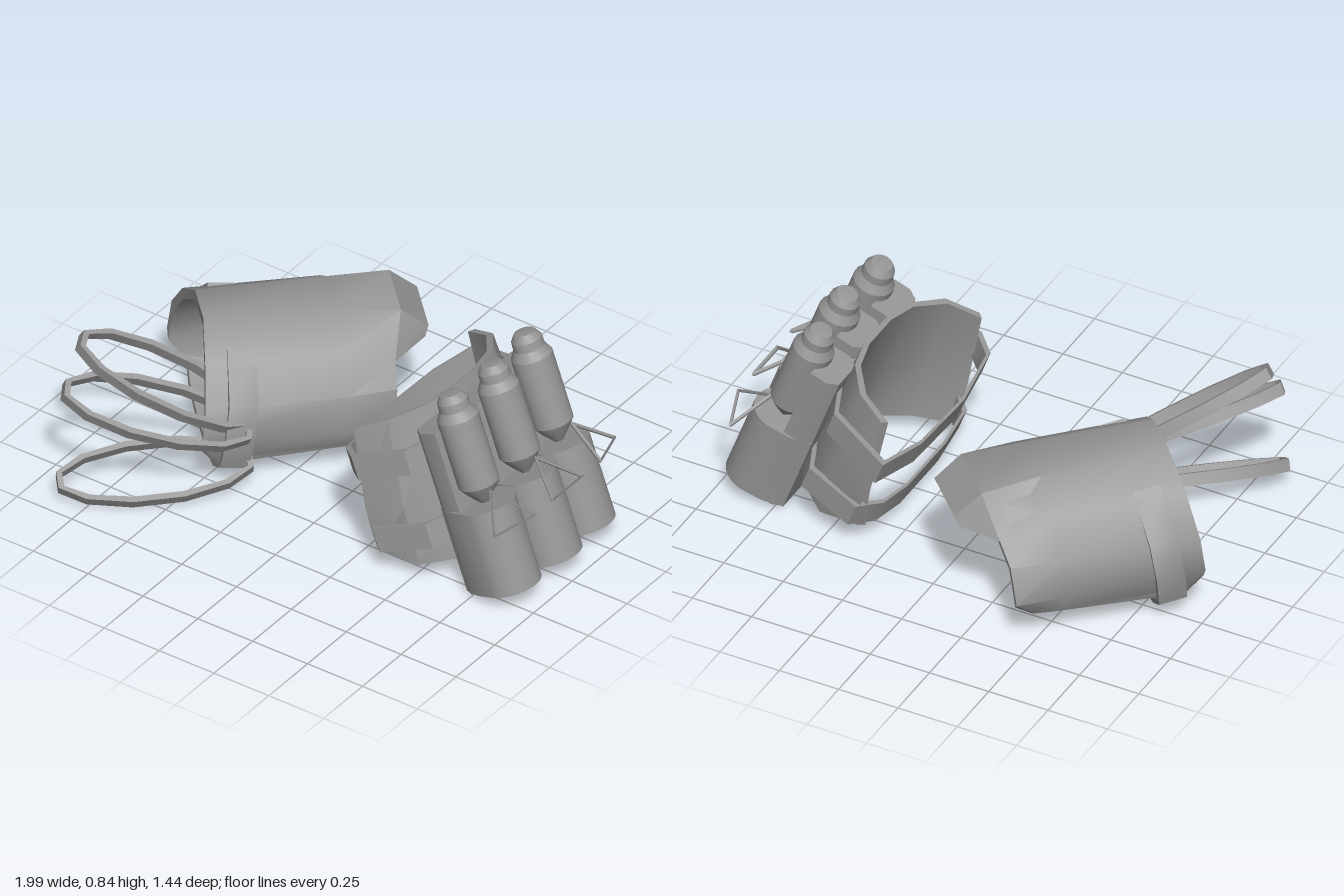
import * as THREE from 'three';
import { toCreasedNormals } from 'three/addons/utils/BufferGeometryUtils.js';

const material = new THREE.MeshStandardMaterial({ color: 0x959595, side: THREE.DoubleSide });

function add(parent, name, geometry, crease = 0.7) {
  const mesh = new THREE.Mesh(toCreasedNormals(geometry, crease), material);
  mesh.name = name;
  parent.add(mesh);
  return mesh;
}

// Surface through rows of [x, y, z] points
function grid(rows) {
  const n = rows[0].length, index = [];
  for (let r = 0; r < rows.length - 1; r++) {
    for (let c = 0; c < n - 1; c++) {
      const a = r * n + c, b = a + n;
      index.push(a, b, a + 1, a + 1, b, b + 1);
    }
  }
  const g = new THREE.BufferGeometry();
  g.setAttribute('position', new THREE.Float32BufferAttribute(rows.flat(2), 3));
  g.setIndex(index);
  g.computeVertexNormals();
  return g;
}

const toShape = pts => new THREE.Shape(pts.map(p => new THREE.Vector2(...p)));
const extrude = (shape, depth) => new THREE.ExtrudeGeometry(shape, { depth, bevelEnabled: false });

// Closed band following an outline, extruded along z
function band(pts, width, insetX, insetY) {
  const cx = pts.reduce((s, p) => s + p[0], 0) / pts.length;
  const cy = pts.reduce((s, p) => s + p[1], 0) / pts.length;
  const shape = toShape(pts);
  shape.holes.push(toShape(pts.map(([x, y]) => [cx + (x - cx) * insetX, cy + (y - cy) * insetY])));
  return extrude(shape, width);
}

// Lay an extrusion drawn in (x, -z) upright along y
const upright = g => g.rotateX(-Math.PI / 2);
const mirrorX = half => [...half.map(([x, ...r]) => [-x, ...r]), ...half.slice().reverse()];

// One canister in its pouch, with backing plate and pull ring
function canisterUnit(z, shift, yaw) {
  const unit = new THREE.Group();
  unit.name = 'canisterUnit';
  unit.position.set(shift, 0, z);

  const pouch = new THREE.Shape();
  pouch.moveTo(-0.14, -0.07);
  pouch.lineTo(-0.06, -0.105);
  pouch.lineTo(0.025, -0.115);
  pouch.absarc(0.025, 0, 0.115, -Math.PI / 2, Math.PI / 2, false);
  pouch.lineTo(-0.06, 0.105);
  pouch.lineTo(-0.14, 0.07);
  pouch.closePath();
  add(unit, 'pouch', upright(extrude(pouch, 0.35)));

  const plate = toShape([[-0.14, -0.065], [-0.1, -0.095], [-0.03, -0.095],
    [-0.03, 0.095], [-0.1, 0.095], [-0.14, 0.065]]);
  add(unit, 'backingPlate', upright(extrude(plate, 0.68)));

  const profile = [[0, 0.33], [0.06, 0.4], [0.081, 0.43], [0.081, 0.71], [0.061, 0.745],
    [0.06, 0.78], [0.042, 0.808], [0, 0.814]].map(p => new THREE.Vector2(...p));
  add(unit, 'canister', new THREE.LatheGeometry(profile, 18), 0.42).position.x = 0.02;

  const pivot = new THREE.Group();
  pivot.name = 'pullRing';
  pivot.position.x = 0.02;
  pivot.rotation.y = yaw;
  const ring = new THREE.TorusGeometry(0.11, 0.009, 4, 3)
    .rotateX(Math.PI / 2).rotateY(Math.PI).rotateZ(-0.86);
  add(pivot, 'triangle', ring).position.set(0.142, 0.325, 0);
  unit.add(pivot);
  return unit;
}

// Curved cuff with two straps and three canisters
function legCuff() {
  const cuff = new THREE.Group();
  cuff.name = 'canisterCuff';
  cuff.position.set(0.855, 0.055, 0);
  cuff.rotation.z = THREE.MathUtils.degToRad(20);

  [[-0.027, 0.015, 0], [0.21, -0.005, -0.35], [-0.268, -0.005, 0.35]]
    .forEach(a => cuff.add(canisterUnit(...a)));

  // Half sections as [z, x, y]
  const low = mirrorX([[0.38, -0.45, 0.2], [0.36, -0.29, 0.13], [0.25, -0.16, 0.11], [0.11, -0.125, 0.11]]);
  const mid = mirrorX([[0.41, -0.42, 0.38], [0.38, -0.26, 0.38], [0.26, -0.15, 0.38], [0.11, -0.12, 0.38]]);
  const top = mirrorX([[0.39, -0.37, 0.72], [0.34, -0.24, 0.735], [0.22, -0.15, 0.735], [0.09, -0.12, 0.735]]);
  const row = (s, k, dx) => s.map(([z, x, y]) => [x + dx, y, z * k - 0.03]);
  add(cuff, 'cuffShell', grid([row(low, 0.95, -0.02), row(low, 1, 0), row(mid, 1, 0),
    row(top, 1, 0), row(top, 0.95, -0.02), row(mid, 0.95, -0.02), row(low, 0.95, -0.02)]));

  // Strap outlines as [x, z]
  const upper = [[-0.46, -0.5], [-0.19, -0.41], [-0.1, -0.2], [-0.1, 0.13], [-0.19, 0.33],
    [-0.4, 0.39], [-0.48, 0.32], [-0.525, 0.03], [-0.515, -0.29]];
  const lower = [[-0.42, -0.45], [-0.19, -0.41], [-0.1, -0.2], [-0.1, 0.13], [-0.19, 0.34],
    [-0.41, 0.39], [-0.49, 0.31], [-0.515, 0.1], [-0.515, -0.2], [-0.49, -0.35]];
  [['upperStrap', upper, 0.515], ['lowerStrap', lower, 0.21]].forEach(([name, pts, y]) => {
    const outline = pts.map(([x, z]) => [x, -z]);
    add(cuff, name, upright(band(outline, 0.1, 0.94, 0.94))).position.y = y;
  });
  return cuff;
}

// Arched guard, open underneath, with a strap around one end
function armGuard() {
  const guard = new THREE.Group();
  guard.name = 'armGuard';
  guard.position.set(-0.329, 0, -0.329);
  guard.rotation.y = -Math.PI / 4;

  const near = mirrorX([[0.355, 0.13, 0.49], [0.385, 0.22, 0.555], [0.37, 0.35, 0.54],
    [0.25, 0.49, 0.52], [0.09, 0.59, 0.5]]);
  const middle = mirrorX([[0.355, 0.135, 0], [0.385, 0.21, 0], [0.365, 0.36, 0],
    [0.25, 0.485, 0], [0.11, 0.58, 0]]);
  const far = mirrorX([[0.35, 0.14, -0.1], [0.385, 0.21, -0.18], [0.34, 0.355, -0.19],
    [0.238, 0.41, -0.2], [0.13, 0.565, -0.24]]);
  const inner = s => s.map(([x, y, z]) => [x * 0.95, y - 0.018, z]);
  const lip = near.map(([x, y, z]) => [x * 0.94, y - 0.04, z]);
  add(guard, 'guardShell', grid([lip, near, middle, far, inner(far), inner(middle), lip]));

  // Drooping tongue at the far end
  const tongue = grid([
    [[-0.238, 0.41, -0.2], [-0.13, 0.565, -0.24], [0.13, 0.565, -0.24], [0.238, 0.41, -0.2]],
    [[-0.14, 0.44, -0.33], [-0.125, 0.48, -0.345], [0.125, 0.48, -0.345], [0.14, 0.44, -0.33]],
  ]);
  add(guard, 'tongue', tongue);

  // Strap from one shoulder of the arch, underneath, to the other
  const side = [[0.22, 0.525], [0.38, 0.38], [0.405, 0.22], [0.375, 0.1], [0.27, 0.035], [0.13, 0.012]];
  const outside = [...side, ...side.map(([x, y]) => [-x, y]).reverse()];
  const inside = outside.map(([x, y]) => [x * 0.94, 0.27 + (y - 0.27) * 0.92]).reverse();
  const strap = add(guard, 'guardStrap', extrude(toShape([...outside, ...inside]), 0.11));
  strap.position.set(0, -0.01, 0.39);
  strap.rotation.x = -0.13;
  return guard;
}

// Long oval hoops fanned out from the strap
function hoops() {
  const group = new THREE.Group();
  group.name = 'hoops';
  const oval = Array.from({ length: 12 }, (_, i) => {
    const a = (i + 0.5) * Math.PI / 6;
    return [0.38 * Math.cos(a), 0.13 * Math.sin(a)];
  });
  [
    [[-0.61, 0.455, 0.34], [-0.57, 0.37, 0.37]],
    [[-0.595, 0.365, 0.42], [-0.57, 0.23, 0.44]],
    [[-0.595, 0.1, 0.435], [-0.52, -0.03, 0.48]],
  ].forEach(([centre, dir]) => {
    const d = new THREE.Vector3(...dir).normalize();
    const n = d.clone().cross(new THREE.Vector3(0.61, -0.5, 0.61)).normalize();
    const m = n.clone().cross(d);
    const mesh = add(group, 'hoop', band(oval, 0.048, 0.94, 0.82).translate(0, 0, -0.024));
    mesh.quaternion.setFromRotationMatrix(new THREE.Matrix4().makeBasis(d, m, n));
    mesh.position.set(...centre);
  });
  return group;
}

export function createModel() {
  const model = new THREE.Group();
  model.name = 'strapOnGear';
  model.add(legCuff(), armGuard(), hoops());
  return model;
}
